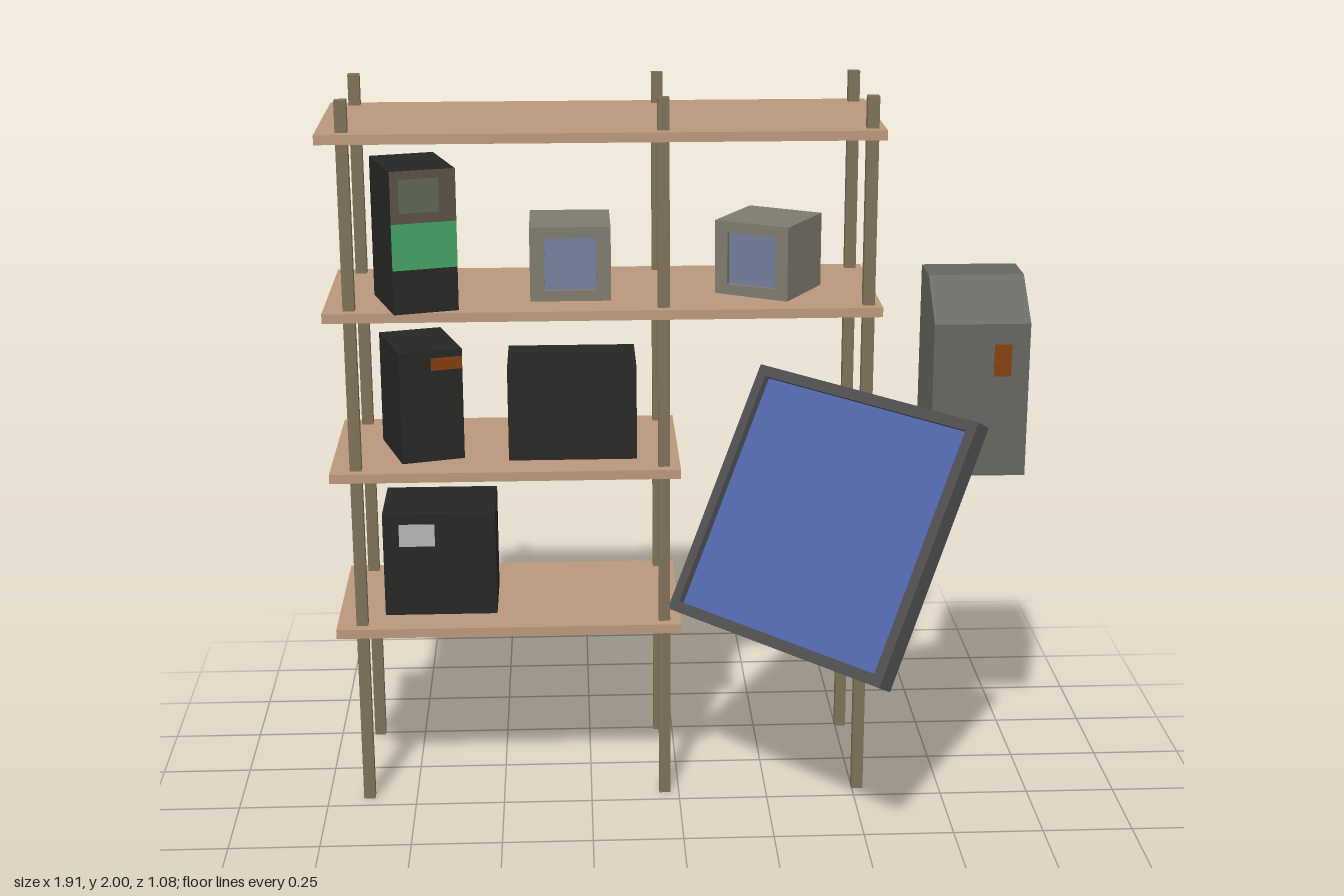
import * as THREE from 'three';

const mat = (color) => new THREE.MeshStandardMaterial({ color, flatShading: true });
const WOOD = mat(0xb8977c), POST = mat(0x7d7058), BLACK = mat(0x262624), BEIGE = mat(0x7f7a6e);
const STEEL = mat(0x666660), BEZEL = mat(0x4c4d4c), BLUE = mat(0x4f64a8), GLASS = mat(0x727e9c);
const ORANGE = mat(0x84400f), GREEN = mat(0x45a066), BROWN = mat(0x5c5246), DIAL = mat(0x5e6656), LABEL = mat(0xb4b4b4);

function add(parent, name, geometry, material, x = 0, y = 0, z = 0) {
  const mesh = new THREE.Mesh(geometry, material);
  mesh.name = name;
  mesh.position.set(x, y, z);
  parent.add(mesh);
  return mesh;
}

const box = (parent, name, material, w, h, d, x, y, z) =>
  add(parent, name, new THREE.BoxGeometry(w, h, d), material, x, y, z);

function group(parent, name, x, y, z, yaw = 0, tilt = 0) {
  const g = new THREE.Group();
  g.name = name;
  g.position.set(x, y, z);
  g.rotation.set(tilt, yaw, 0, 'YXZ');
  parent.add(g);
  return g;
}

function outline(path, w, h) {
  path.moveTo(-w / 2, -h / 2);
  path.lineTo(w / 2, -h / 2);
  path.lineTo(w / 2, h / 2);
  path.lineTo(-w / 2, h / 2);
  path.closePath();
  return path;
}

const extrude = (shape, depth) => new THREE.ExtrudeGeometry(shape, { depth, bevelEnabled: false });

// Box with a recessed screen in its front; the front lies on local z = 0
function screenBox(g, w, h, d, sw, sh, recess, body, glass) {
  const rim = outline(new THREE.Shape(), w, h);
  rim.holes.push(outline(new THREE.Path(), sw, sh));
  add(g, 'bezel', extrude(rim, recess), body, 0, 0, -recess);
  box(g, 'casing', body, w, h, d - recess, 0, 0, -(d + recess) / 2);
  add(g, 'screen', new THREE.PlaneGeometry(sw, sh), glass, 0, 0, -recess + 0.001);
}

export function createModel() {
  const model = new THREE.Group();
  model.name = 'equipmentRack';

  // Posts and shelves
  for (const x of [-0.885, -0.04, 0.515])
    for (const z of [-0.06, -0.5]) box(model, 'post', POST, 0.032, 2, 0.032, x, 1, z);
  for (const [y, w] of [[1.902, 1.505], [1.422, 1.505], [0.972, 0.96], [0.517, 0.96]])
    box(model, 'shelf', WOOD, w, 0.026, 0.52, -0.955 + w / 2, y, -0.275);

  // Tall cabinet with coloured front panels
  const tower = group(model, 'tallCabinet', -0.71, 1.435, -0.138, 0.286);
  box(tower, 'body', BLACK, 0.177, 0.385, 0.245, 0, 0.1925, 0);
  box(tower, 'upperPanel', BROWN, 0.177, 0.14, 0.004, 0, 0.315, 0.1225);
  box(tower, 'greenPanel', GREEN, 0.177, 0.125, 0.004, 0, 0.1825, 0.1225);
  box(tower, 'display', DIAL, 0.108, 0.09, 0.004, -0.012, 0.318, 0.124);

  // Small cabinet with a slot
  const small = group(model, 'smallCabinet', -0.71, 0.985, -0.243, 0.286);
  box(small, 'body', BLACK, 0.177, 0.315, 0.245, 0, 0.1575, 0);
  box(small, 'slot', ORANGE, 0.088, 0.035, 0.004, 0.044, 0.277, 0.1225);

  // Plain crates
  box(model, 'wideCrate', BLACK, 0.355, 0.265, 0.24, -0.29, 1.1175, -0.24);
  box(model, 'lowerCrate', BLACK, 0.315, 0.3, 0.24, -0.6675, 0.68, -0.245);
  box(model, 'label', LABEL, 0.1, 0.065, 0.004, -0.73, 0.767, -0.125);

  // Two small monitors
  const m1 = group(model, 'monitor', -0.29, 1.537, -0.13);
  screenBox(m1, 0.22, 0.205, 0.23, 0.14, 0.145, 0.015, BEIGE, GLASS);
  const m2 = group(model, 'monitor', 0.2025, 1.537, -0.15, -Math.PI / 6);
  screenBox(m2, 0.22, 0.205, 0.22, 0.145, 0.145, 0.015, BEIGE, GLASS);

  // Large tilted screen
  const big = group(model, 'largeScreen', 0.367, 0.885, 0.124, -0.848, -0.52);
  screenBox(big, 0.787, 0.737, 0.05, 0.725, 0.677, 0.02, BEZEL, BLUE);

  // Wall unit: side profile extruded across x
  const profile = new THREE.Shape(
    [[0, 0.96], [0.265, 0.96], [0.265, 1.495], [0.135, 1.495], [0, 1.39]].map(([z, y]) => new THREE.Vector2(z, y)));
  const unit = add(model, 'wallUnit', extrude(profile, 0.262), STEEL, 0.689, 0, 0);
  unit.rotation.y = Math.PI / 2;
  box(model, 'unitSlot', ORANGE, 0.047, 0.09, 0.004, 0.878, 1.288, 0);

  // Bent arm joining the unit to the large screen: plan outline extruded upward
  const plan = new THREE.Shape();
  plan.moveTo(0.7, 0.25);
  plan.quadraticCurveTo(0.53, 0.21, 0.43, 0.06);
  plan.lineTo(0.53, -0.05);
  plan.lineTo(0.585, 0);
  plan.lineTo(0.63, 0.055);
  plan.lineTo(0.7, 0.08);
  plan.closePath();
  const arm = add(model, 'arm', new THREE.ExtrudeGeometry(plan, { depth: 0.09, bevelEnabled: false, curveSegments: 4 }), STEEL, 0, 1.0, 0);
  arm.rotation.x = -Math.PI / 2;

  return model;
}
